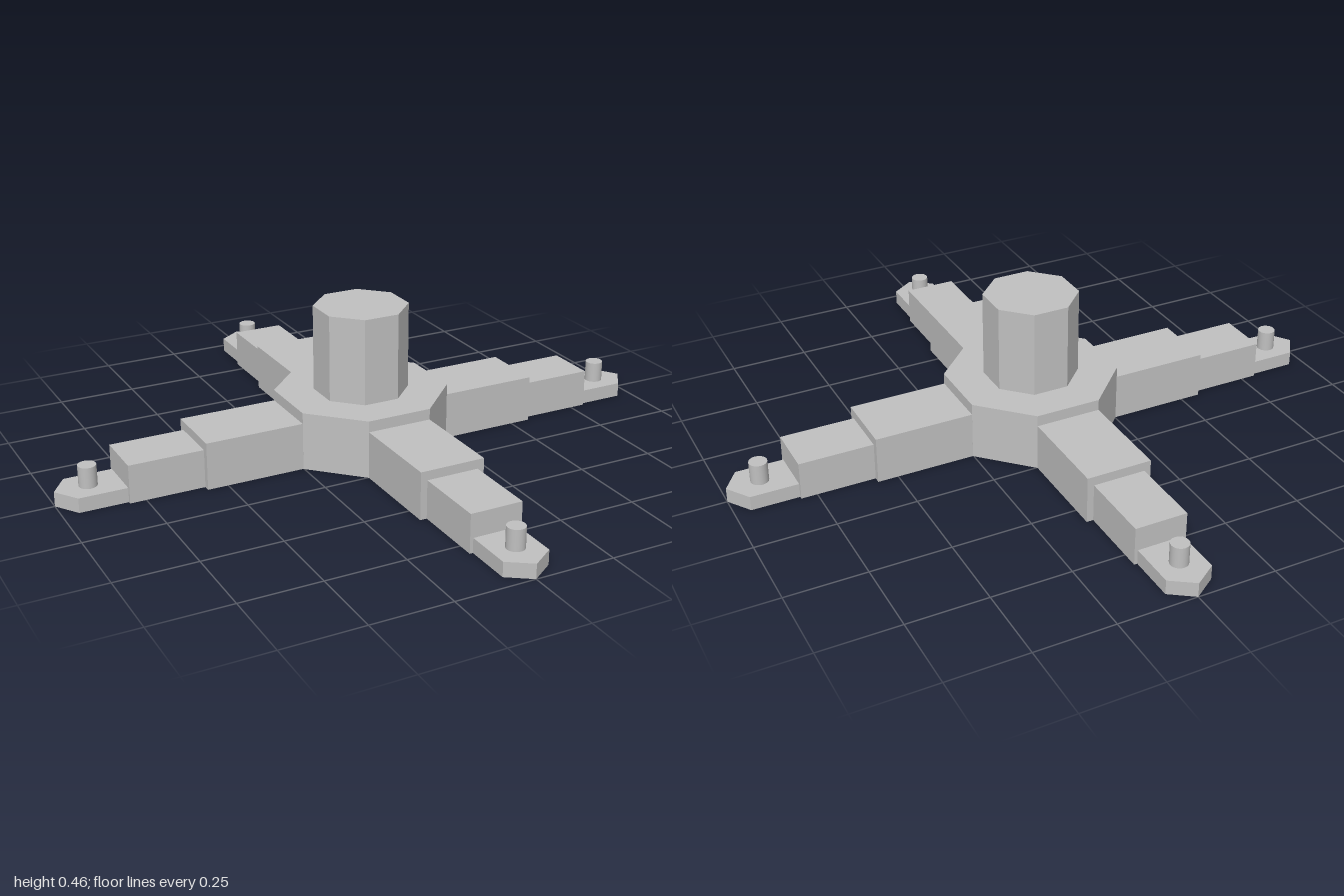
import * as THREE from 'three';

export function createModel() {
  const model = new THREE.Group();
  const grey = new THREE.MeshStandardMaterial({ color: 0xc0c0c0 });
  grey.name = 'plain grey';

  function add(parent, name, geometry, x = 0, y = 0, z = 0) {
    const mesh = new THREE.Mesh(geometry, grey);
    mesh.name = name;
    mesh.position.set(x, y, z);
    parent.add(mesh);
    return mesh;
  }

  // Faceted octagonal prism with flats facing the four axes
  function octagon(apothem, height) {
    const radius = apothem / Math.cos(Math.PI / 8);
    const geometry = new THREE.CylinderGeometry(radius, radius, height, 8)
      .rotateY(Math.PI / 8).toNonIndexed();
    geometry.computeVertexNormals();
    return geometry;
  }

  // Central hub and post
  add(model, 'hub', octagon(0.252, 0.185), 0, 0.0925, 0);
  add(model, 'post', octagon(0.137, 0.28), 0, 0.32, 0);

  // Pointed end plate, seen from above
  const tip = new THREE.Shape([
    [0.79, -0.073], [0.95, -0.073], [1, 0], [0.95, 0.073], [0.79, 0.073],
  ].map(([x, y]) => new THREE.Vector2(x, y)));
  const tipGeometry = new THREE.ExtrudeGeometry(tip, { depth: 0.046, bevelEnabled: false })
    .rotateX(-Math.PI / 2);

  // One stepped arm along +x: [name, start, end, width, height]
  const steps = [
    ['innerArm', 0.24, 0.565, 0.208, 0.15],
    ['outerArm', 0.555, 0.8, 0.166, 0.121],
  ];
  const pegGeometry = new THREE.CylinderGeometry(0.028, 0.028, 0.075, 20);

  ['left', 'back', 'right', 'front'].forEach((side, i) => {
    const arm = new THREE.Group();
    arm.name = side + 'Arm';
    for (const [name, start, end, width, height] of steps) {
      add(arm, name, new THREE.BoxGeometry(end - start, height, width), (start + end) / 2, height / 2, 0);
    }
    add(arm, 'armTip', tipGeometry);
    add(arm, 'peg', pegGeometry, 0.897, 0.0745, 0);
    arm.rotation.y = i * Math.PI / 2;
    model.add(arm);
  });

  return model;
}
